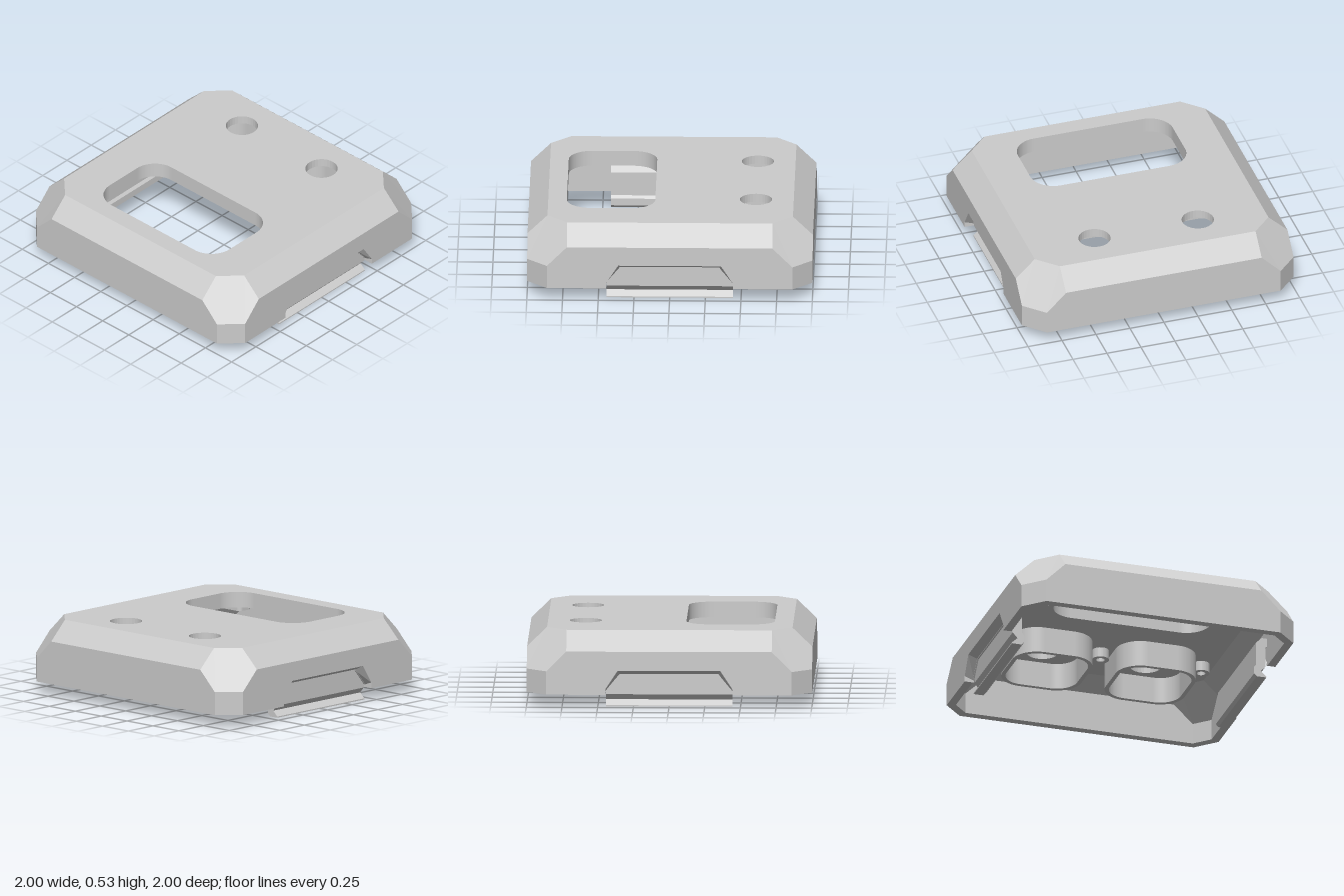
import * as THREE from 'three';

const mat = new THREE.MeshStandardMaterial({ color: 0xcccccc, side: THREE.DoubleSide });
const BASE = 0.09, TOP = 0.53, CEIL = 0.47, WALL = 0.06;

function named(name, geometry) {
  const mesh = new THREE.Mesh(geometry, mat);
  mesh.name = name;
  return mesh;
}

// Flat-shaded quads between successive rows of points
function loft(rows, closed = false, skip = []) {
  const pos = [];
  for (let r = 0; r + 1 < rows.length; r++) {
    const n = rows[r].length;
    for (let i = 0; i < (closed ? n : n - 1); i++) {
      if (skip.some(([row, seg]) => row === r && seg === i)) continue;
      const j = (i + 1) % n;
      const a = rows[r][i], b = rows[r][j], c = rows[r + 1][j], d = rows[r + 1][i];
      pos.push(...a, ...b, ...c, ...a, ...c, ...d);
    }
  }
  const g = new THREE.BufferGeometry();
  g.setAttribute('position', new THREE.Float32BufferAttribute(pos, 3));
  g.computeVertexNormals();
  return g;
}

// Mirror one corner (A, B, C, D from front to side) into a full ring
function ring(corner) {
  const back = [...corner].reverse();
  const put = (pts, sx, sz) => pts.map(([x, y, z]) => [x * sx, y, z * sz]);
  return [...put(corner, 1, 1), ...put(back, 1, -1), ...put(corner, -1, -1), ...put(back, -1, 1)];
}

// The three rings of a shell, offset inwards by t
function shellRings(t, topY) {
  const e = 1 - t, b = 0.86 - 0.414 * t, a = 0.72 - 0.4 * t, f = 0.86 - 0.4 * t;
  const hi = 0.395 - 0.4 * t, lo = 0.255 - 0.24 * t;
  return [
    ring([[a, BASE, e], [b, BASE, e], [e, BASE, b], [e, BASE, a]]),
    ring([[a, hi, e], [b, lo, e], [e, lo, b], [e, hi, a]]),
    ring([[a, topY, f], [a, topY, f], [f, topY, a], [f, topY, a]]),
  ];
}

function roundedRect(path, x0, z0, x1, z1, r) {
  path.moveTo(x0 + r, z0);
  path.lineTo(x1 - r, z0);
  path.absarc(x1 - r, z0 + r, r, -Math.PI / 2, 0);
  path.lineTo(x1, z1 - r);
  path.absarc(x1 - r, z1 - r, r, 0, Math.PI / 2);
  path.lineTo(x0 + r, z1);
  path.absarc(x0 + r, z1 - r, r, Math.PI / 2, Math.PI);
  path.lineTo(x0, z0 + r);
  path.absarc(x0 + r, z0 + r, r, Math.PI, Math.PI * 1.5);
  return path;
}

// Extrude a shape drawn in (x, z) from y0 up to y1
function slab(shape, y0, y1) {
  const g = new THREE.ExtrudeGeometry(shape, { depth: y1 - y0, bevelEnabled: false, curveSegments: 16 });
  return g.rotateX(Math.PI / 2).translate(0, y1, 0);
}

// Rounded rectangular tube
function collar(x0, z0, x1, z1, r, t, y0, y1) {
  const s = roundedRect(new THREE.Shape(), x0, z0, x1, z1, r);
  s.holes.push(roundedRect(new THREE.Path(), x0 + t, z0 + t, x1 - t, z1 - t, r - t));
  return slab(s, y0, y1);
}

// Mirror half a (z, y) path and place it at the given x
function sidePath(half, x) {
  const pts = [...half, ...[...half].reverse().map(([z, y]) => [-z, y])];
  return pts.map(([z, y]) => [x, y, z]);
}

export function createModel() {
  const model = new THREE.Group();

  // Chamfered shell, leaving the lower side panels open for the latch recesses
  const outer = shellRings(0, TOP), inner = shellRings(WALL, CEIL);
  const e = 1 - WALL, a = 0.72 - 0.4 * WALL;
  model.add(named('outerShell', loft(outer, true, [[0, 3], [0, 11]])));
  model.add(named('innerShell', loft([...inner].reverse(), true, [[1, 3], [1, 11]])));
  model.add(named('bottomRim', loft([inner[0], outer[0]], true, [[0, 3], [0, 11]])));

  // Top plate with window and two round holes
  const plate = new THREE.Shape();
  [[0.72, 0.86], [0.86, 0.72], [0.86, -0.72], [0.72, -0.86], [-0.72, -0.86], [-0.86, -0.72], [-0.86, 0.72], [-0.72, 0.86]]
    .forEach(([x, z], i) => (i ? plate.lineTo(x, z) : plate.moveTo(x, z)));
  plate.closePath();
  plate.holes.push(roundedRect(new THREE.Path(), -0.57, 0.11, 0.57, 0.73, 0.17));
  for (const x of [-0.38, 0.38]) plate.holes.push(new THREE.Path().absarc(x, -0.595, 0.113, 0, Math.PI * 2));
  model.add(named('topPlate', slab(plate, CEIL, TOP)));

  // Raised lip under the window
  model.add(named('windowLip', collar(-0.61, 0.07, 0.61, 0.77, 0.21, 0.04, 0.42, CEIL)));

  // Side panels with a sloped recess, and the latch rails behind them
  const opening = [[0.445, BASE], [0.445, 0.13], [0.36, 0.26]];
  const inset = [[0.445, BASE], [0.445, 0.105], [0.345, 0.225]];
  const frame = [[0.72, BASE], [0.72, 0.2], [0.72, 0.395]];
  const innerFrame = [[a, BASE], [a, 0.2], [a, 0.395 - 0.4 * WALL]];
  const latch = new THREE.Shape();
  [[0.865, 0], [0.935, 0], [0.935, 0.008], [0.895, 0.045], [0.93, 0.085], [0.93, 0.23], [0.95, 0.25],
    [0.95, 0.3], [0.9, 0.3], [0.86, 0.26], [0.86, 0.09], [0.845, 0.07], [0.845, 0.02]]
    .forEach(([x, y], i) => (i ? latch.lineTo(x, y) : latch.moveTo(x, y)));
  latch.closePath();

  for (const turn of [0, Math.PI]) {
    const side = new THREE.Group();
    side.name = turn ? 'rightSide' : 'leftSide';
    side.rotation.y = turn;
    side.add(named('sidePanel', loft([sidePath(opening, 1), sidePath(frame, 1)])));
    side.add(named('innerPanel', loft([sidePath(innerFrame, e), sidePath(inset, e)])));
    side.add(named('recessEdge', loft([sidePath(inset, 0.93), sidePath(opening, 1)])));
    for (const s of [1, -1]) {
      const rim = [[[e, BASE, a * s], [e, BASE, 0.445 * s]], [[1, BASE, 0.72 * s], [1, BASE, 0.445 * s]]];
      side.add(named('sideRim', loft(s > 0 ? rim : rim.reverse())));
    }
    const rail = new THREE.ExtrudeGeometry(latch, { depth: 0.885, bevelEnabled: false });
    side.add(named('latchRail', rail.translate(0, 0, -0.4425)));
    model.add(side);
  }

  // Collars hanging around the round holes
  for (const x of [-0.38, 0.38]) {
    model.add(named('holeCollar', collar(x - 0.29, -0.79, x + 0.29, -0.2, 0.18, 0.03, 0.28, CEIL)));
  }

  // Small screw bosses between and beside the collars
  const ringShape = (r, h) => {
    const s = new THREE.Shape().absarc(0, 0, r, 0, Math.PI * 2);
    s.holes.push(new THREE.Path().absarc(0, 0, h, 0, Math.PI * 2));
    return s;
  };
  for (const x of [-0.74, 0, 0.74]) {
    const boss = named('screwBoss', slab(ringShape(0.06, 0.03), 0.4, CEIL));
    boss.position.set(x, 0, -0.45);
    model.add(boss);
  }

  // Mounting tabs at the front corners of the window
  for (const x of [-0.64, 0.64]) {
    const s = roundedRect(new THREE.Shape(), -0.1, -0.06, 0.1, 0.06, 0.03);
    s.holes.push(new THREE.Path().absarc(0, 0, 0.03, 0, Math.PI * 2));
    const tab = named('mountingTab', slab(s, 0.38, CEIL));
    tab.position.set(x, 0, 0.79);
    model.add(tab);
  }

  return model;
}
